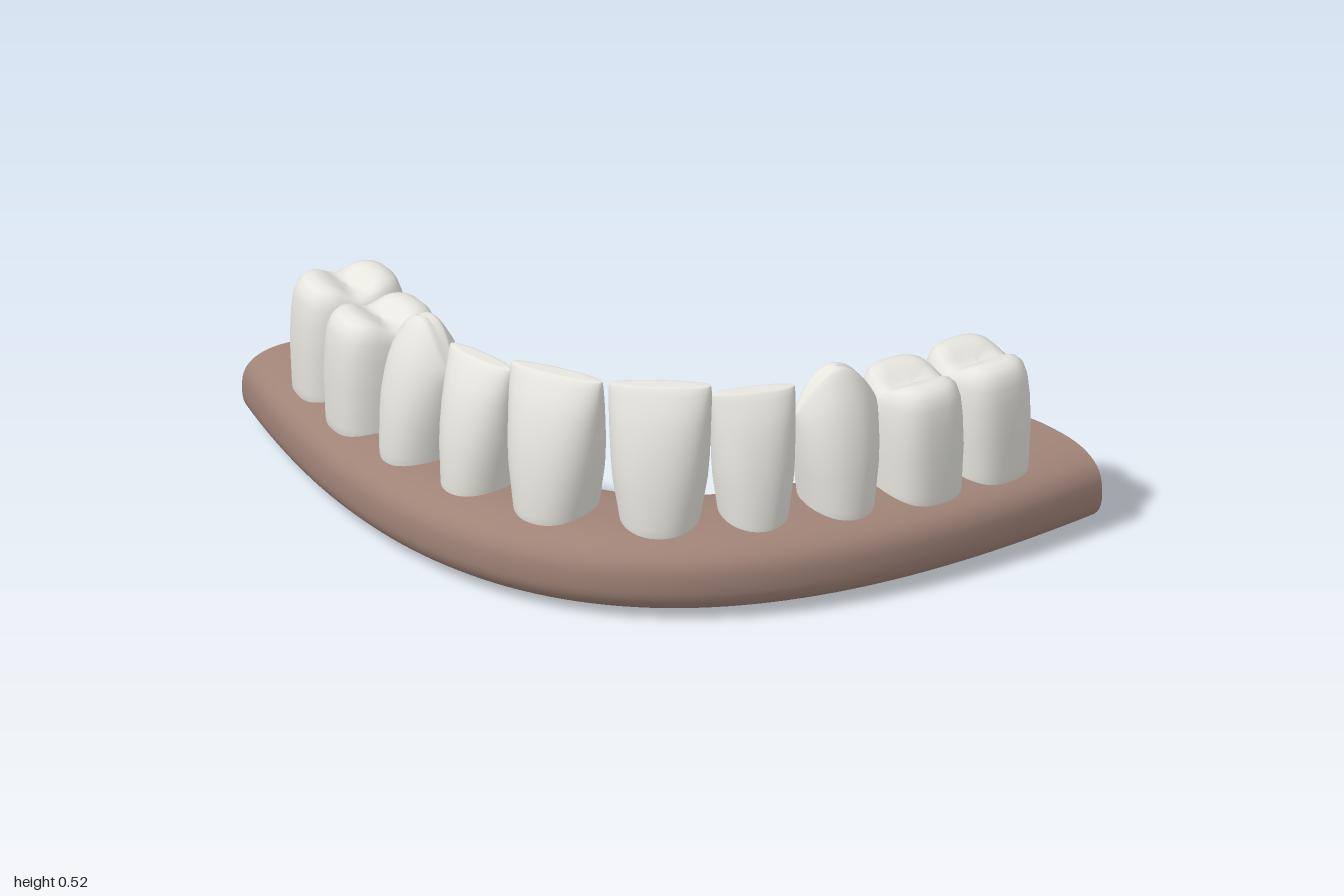
import * as THREE from 'three';

// Centre line of the arch: a parabola in plan
const BEND = 0.893, FRONT = 0.283, END_X = 0.855;
const archZ = x => FRONT - BEND * x * x;
const archAngle = x => Math.atan(2 * BEND * x);

// Point on a unit superellipse
function superellipse(a, n) {
  const f = c => Math.sign(c) * Math.abs(c) ** (2 / n);
  return [f(Math.cos(a)), f(Math.sin(a))];
}

// Closed-ring loft: point(ring, angle) gives [x, y, z]
function loft(rings, sides, point) {
  const pos = [], idx = [];
  rings.forEach((ring, r) => {
    for (let j = 0; j < sides; j++) {
      pos.push(...point(ring, (j / sides) * Math.PI * 2));
      if (r === rings.length - 1) continue;
      const a = r * sides + j, b = r * sides + (j + 1) % sides;
      idx.push(a, a + sides, b, b, a + sides, b + sides);
    }
  });
  const g = new THREE.BufferGeometry();
  g.setAttribute('position', new THREE.Float32BufferAttribute(pos, 3));
  g.setIndex(idx);
  g.computeVertexNormals();
  return g;
}

// Gum: rounded section swept along the arch, with flat ends
function gumGeometry() {
  const rings = [[-END_X, 0]], steps = 64;
  for (let i = 0; i <= steps; i++) rings.push([-END_X + (2 * END_X * i) / steps, 1]);
  rings.push([END_X, 0]);
  // doubled end rings keep the end edges crisp
  rings.splice(1, 0, [-END_X, 1]);
  rings.splice(rings.length - 1, 0, [END_X, 1]);
  return loft(rings, 48, ([x, s], a) => {
    const [c, h] = superellipse(a, 2.7), t = archAngle(x), w = 0.171 * s * c;
    return [x + Math.sin(t) * w, 0.1 + 0.096 * s * h, archZ(x) + Math.cos(t) * w];
  });
}

// Tooth profiles: [height fraction, width scale, depth scale]
const BLADE = [
  [0, 0, 0], [0, 0.68, 0.93], [0.25, 0.8, 1], [0.45, 0.92, 0.95], [0.58, 0.96, 0.88],
  [0.7, 0.98, 0.77], [0.8, 0.99, 0.64], [0.88, 1, 0.5], [0.96, 1, 0.31], [0.99, 0.99, 0.22],
  [1, 0.97, 0.17], [1, 0.66, 0.12], [1, 0.33, 0.06], [1, 0, 0],
];
const BLOCK = [
  [0, 0, 0], [0, 0.9, 0.92], [0.28, 0.95, 0.97], [0.55, 1, 1], [0.75, 0.98, 0.98],
  [0.87, 0.94, 0.94], [0.94, 0.87, 0.87], [0.98, 0.75, 0.76], [1, 0.6, 0.6],
  [1, 0.45, 0.45], [1, 0.3, 0.3], [1, 0.15, 0.15], [1, 0, 0],
];
const ROOT = 0.1;

function toothGeometry({ w, d, top, profile, n, dome = 0, groove = 0 }) {
  return loft(profile, 40, ([f, su, sv], a) => {
    const [c, s] = superellipse(a, n);
    const u = c * su, v = s * sv;
    // dome rounds the biting edge; groove parts the two cusps
    const y = ROOT + f * (top - ROOT) - dome * u * u * f ** 3
      - groove * Math.exp(-((v / 0.3) ** 2)) * f ** 8;
    return [u * w / 2, y, v * d / 2];
  });
}

const TEETH = [
  { name: 'centralIncisor', x: 0.12, w: 0.232, d: 0.216, top: 0.522, profile: BLADE, n: 2.2 },
  { name: 'lateralIncisor', x: 0.315, w: 0.195, d: 0.2, top: 0.497, profile: BLADE, n: 2.2 },
  { name: 'canine', x: 0.476, w: 0.2, d: 0.22, top: 0.522, profile: BLADE, n: 2.2, dome: 0.1 },
  { name: 'premolar', x: 0.615, w: 0.195, d: 0.255, top: 0.46, profile: BLOCK, n: 2.8, groove: 0.028 },
  { name: 'molar', x: 0.73, w: 0.195, d: 0.255, top: 0.46, profile: BLOCK, n: 2.8, groove: 0.028 },
];

export function createModel() {
  const model = new THREE.Group();
  model.name = 'lowerDentalArch';
  const gumMaterial = new THREE.MeshStandardMaterial({ color: 0xa08377 });
  const toothMaterial = new THREE.MeshStandardMaterial({ color: 0xe6e5de });

  const gum = new THREE.Mesh(gumGeometry(), gumMaterial);
  gum.name = 'gum';
  model.add(gum);

  // Teeth follow the arch, mirrored on both sides
  for (const tooth of TEETH) {
    const geometry = toothGeometry(tooth);
    for (const side of [1, -1]) {
      const mesh = new THREE.Mesh(geometry, toothMaterial);
      mesh.name = (side > 0 ? 'left_' : 'right_') + tooth.name;
      mesh.position.set(side * tooth.x, 0, archZ(tooth.x));
      mesh.rotation.y = side * archAngle(tooth.x);
      model.add(mesh);
    }
  }
  return model;
}
